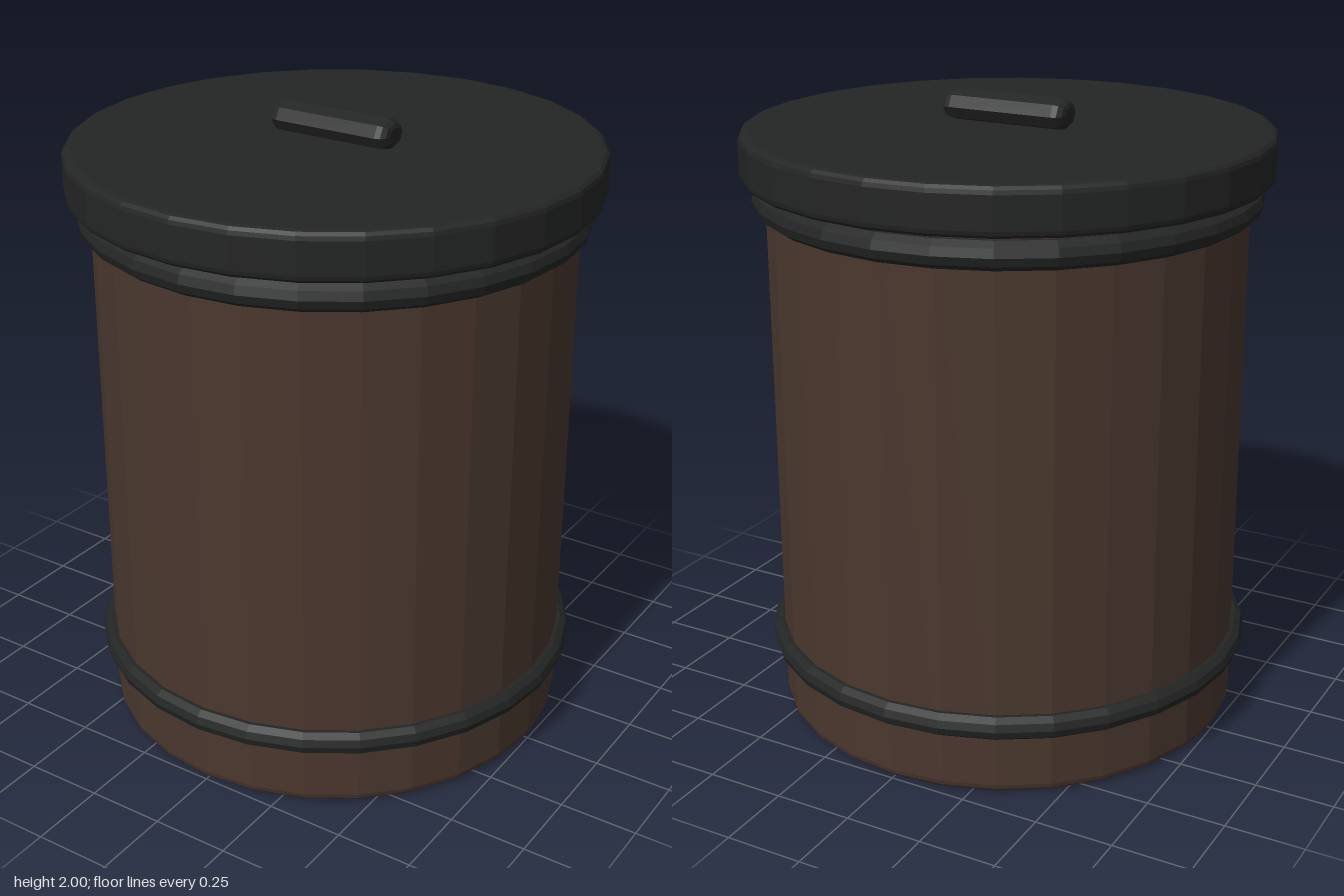
import * as THREE from 'three';

const SIDES = 28;

// Closed drum with softly bevelled rims, turned around y.
function drum(radius, y0, y1, bevel, sides) {
  const points = [new THREE.Vector2(0, y0)];
  const steps = 3;
  for (let i = 0; i <= steps; i++) {
    const a = (i / steps) * Math.PI / 2;
    points.push(new THREE.Vector2(radius - bevel + bevel * Math.sin(a), y0 + bevel - bevel * Math.cos(a)));
  }
  for (let i = 0; i <= steps; i++) {
    const a = (i / steps) * Math.PI / 2;
    points.push(new THREE.Vector2(radius - bevel + bevel * Math.cos(a), y1 - bevel + bevel * Math.sin(a)));
  }
  points.push(new THREE.Vector2(0, y1));
  return new THREE.LatheGeometry(points, sides);
}

export function createModel() {
  const group = new THREE.Group();
  const wood = new THREE.MeshStandardMaterial({ color: 0x4a372e, flatShading: true });
  wood.name = 'dark brown';
  const iron = new THREE.MeshStandardMaterial({ color: 0x242525, flatShading: true });
  iron.name = 'charcoal';

  const add = (name, geometry, material) => {
    const mesh = new THREE.Mesh(geometry, material);
    mesh.name = name;
    group.add(mesh);
    return mesh;
  };

  // Barrel and lid
  add('body', drum(0.75, 0, 1.775, 0.03, SIDES), wood);
  add('lid', drum(0.825, 1.755, 1.905, 0.025, SIDES), iron);

  // Hoops around the barrel
  for (const [name, y, radius, tube] of [['lowerHoop', 0.235, 0.75, 0.04], ['upperHoop', 1.697, 0.748, 0.045]]) {
    const hoop = add(name, new THREE.TorusGeometry(radius, tube, 10, SIDES).rotateX(Math.PI / 2), iron);
    hoop.position.y = y;
  }

  // Flattened bar handle lying along x
  const handle = drum(0.065, -0.21, 0.21, 0.035, 8);
  handle.rotateZ(Math.PI / 2).scale(1, 0.75, 1);
  add('handle', handle, iron).position.y = 1.951;

  return group;
}
